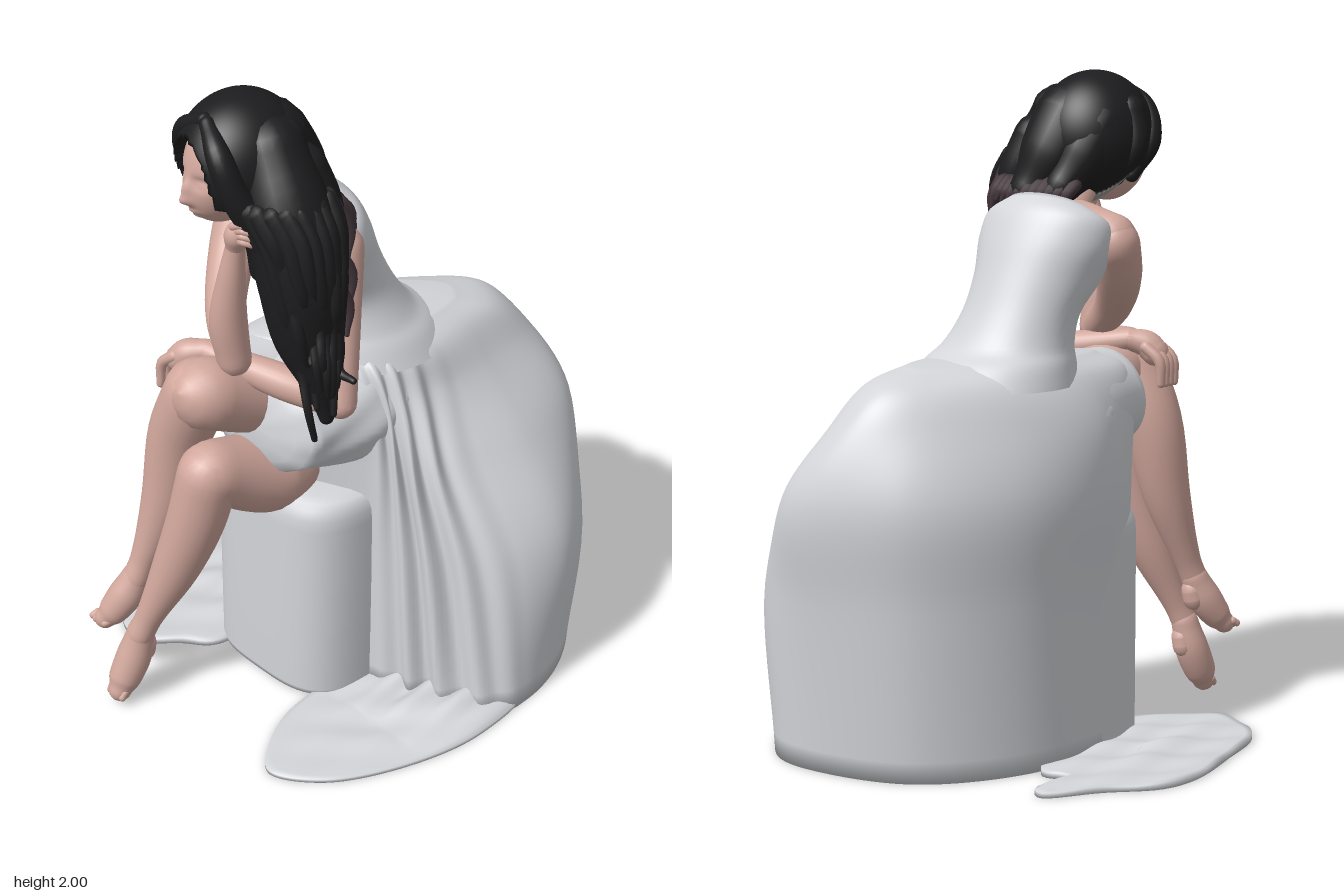
import * as THREE from 'three';

const V = (x, y, z) => new THREE.Vector3(x, y, z);
const mat = (name, color) => {
  const m = new THREE.MeshStandardMaterial({ color });
  m.name = name;
  return m;
};
const bump = (x, y, cx, cy, w, h) => Math.exp(-(((x - cx) / w) ** 2) - ((y - cy) / h) ** 2);

// Skin a list of closed rings (same point count) into one smooth surface.
function loft(rings) {
  const n = rings[0].length, pos = [], idx = [];
  rings.forEach(r => r.forEach(p => pos.push(p.x, p.y, p.z)));
  for (let i = 0; i < rings.length - 1; i++) for (let j = 0; j < n; j++) {
    const k = (j + 1) % n, a = i * n + j, b = i * n + k, c = b + n, d = a + n;
    idx.push(a, b, c, a, c, d);
  }
  const g = new THREE.BufferGeometry();
  g.setAttribute('position', new THREE.Float32BufferAttribute(pos, 3));
  g.setIndex(idx);
  g.computeVertexNormals();
  return g;
}

// Rounded tube through [x, y, z, radius] points; cap sets how far the ends bulge.
function limb(pts, sides = 18, steps = 20, cap = 1) {
  const path = new THREE.CatmullRomCurve3(pts.map(p => V(p[0], p[1], p[2])));
  const radii = new THREE.SplineCurve(pts.map((p, i) => new THREE.Vector2(i, p[3])));
  const rings = [];
  let n = V(0.31, 0.2, 0.93);
  const ring = (c, t, r) => {
    n = n.clone().addScaledVector(t, -n.dot(t)).normalize();
    const b = t.clone().cross(n);
    rings.push(Array.from({ length: sides }, (_, j) => {
      const a = j / sides * Math.PI * 2;
      return c.clone().addScaledVector(n, r * Math.cos(a)).addScaledVector(b, r * Math.sin(a));
    }));
  };
  for (let i = 0; i <= steps; i++) {
    const u = i / steps, c = path.getPoint(u), t = path.getTangent(u), r = radii.getPoint(u).y;
    const end = s => c.clone().addScaledVector(t, s * r * cap);
    if (i === 0) for (const a of [0.02, 0.4, 0.8, 1.2]) ring(end(-Math.cos(a)), t, r * Math.sin(a));
    ring(c, t, r);
    if (i === steps) for (const a of [1.2, 0.8, 0.4, 0.02]) ring(end(Math.cos(a)), t, r * Math.sin(a));
  }
  return loft(rings);
}

// Flat cloth lying on the floor, with its height set by a rule.
function floorCloth(outline, cx, cz, height) {
  const loop = new THREE.CatmullRomCurve3(outline.map(p => V(p[0], 0, p[1])), true).getSpacedPoints(120).slice(0, 120);
  const at = (s, top) => loop.map(p => {
    const x = cx + (p.x - cx) * s, z = cz + (p.z - cz) * s;
    return V(x, top ? height(x, z, s) : 0, z);
  });
  const rings = [at(0.001, false), at(1, false)];
  for (let i = 0; i <= 16; i++) rings.push(at(Math.max(0.001, 1 - i / 16), true));
  return loft(rings);
}

export function createModel() {
  const root = new THREE.Group();
  root.name = 'seatedWoman';
  const skin = mat('skin', 0xd2a89d), cloth = mat('paleCloth', 0xd3d5d9);
  const hair = mat('darkHair', 0x1d1d1f), tips = mat('hairTips', 0x43353b);
  const add = (name, geo, m, parent = root) => {
    const mesh = new THREE.Mesh(geo, m);
    mesh.name = name;
    parent.add(mesh);
    return mesh;
  };

  // Seat with a softly squared outline: [half width, height] steps
  const seatSteps = [[0.001, 0.004], [0.274, 0.004], [0.277, 0.02], [0.277, 0.3], [0.277, 0.62], [0.275, 0.66],
    [0.266, 0.69], [0.25, 0.707], [0.22, 0.716], [0.17, 0.72], [0.001, 0.72]];
  add('seat', loft(seatSteps.map(([r, y]) => Array.from({ length: 80 }, (_, j) => {
    const a = j / 80 * Math.PI * 2, c = Math.cos(a), s = Math.sin(a);
    const k = r / (Math.abs(c) ** 3.3 + Math.abs(s) ** 3.3) ** (1 / 3.3);
    return V(-0.02 + k * c, y, 0.013 - k * s);
  }))), cloth);

  // Skirt draped over the seat and spreading behind: one outline for each height
  const levels = [
    [0, [0.27, 0.07], [0.45, 0], [0.64, -0.12], [0.62, -0.38], [0.43, -0.63], [0.2, -0.66], [-0.06, -0.58], [-0.25, -0.32], [-0.295, 0.02], [-0.22, 0.22]],
    [0.5, [0.27, 0.06], [0.41, 0], [0.55, -0.14], [0.62, -0.4], [0.44, -0.65], [0.21, -0.7], [-0.06, -0.62], [-0.26, -0.34], [-0.295, 0.02], [-0.22, 0.22]],
    [0.8, [0.27, 0.06], [0.34, 0], [0.4, -0.13], [0.46, -0.38], [0.38, -0.66], [0.2, -0.73], [-0.06, -0.64], [-0.27, -0.34], [-0.305, 0.03], [-0.22, 0.24]],
    [1.0, [0.25, 0.07], [0.28, 0], [0.3, -0.15], [0.31, -0.37], [0.26, -0.58], [0.14, -0.66], [-0.04, -0.56], [-0.22, -0.3], [-0.28, 0.04], [-0.2, 0.27]],
    [1.12, [0.18, 0.08], [0.23, 0], [0.25, -0.13], [0.24, -0.34], [0.2, -0.49], [0.1, -0.56], [-0.03, -0.47], [-0.16, -0.27], [-0.22, 0.04], [-0.17, 0.27]],
    [1.17, [0.1, 0.04], [0.15, 0], [0.17, -0.12], [0.17, -0.27], [0.14, -0.37], [0.08, -0.4], [0, -0.35], [-0.1, -0.22], [-0.14, 0.02], [-0.1, 0.2]],
  ];
  const rails = Array.from({ length: 10 }, (_, k) =>
    new THREE.CatmullRomCurve3(levels.map(l => V(l[k + 1][0], l[0], l[k + 1][1]))));
  const N = 180, rings = [];
  for (let i = 0; i <= 40; i++) {
    const v = i / 40, loop = new THREE.CatmullRomCurve3(rails.map(r => r.getPoint(v)), true);
    rings.push(Array.from({ length: N }, (_, j) => {
      const u = j / N, p = loop.getPoint(u), t = loop.getTangent(u);
      const folds = Math.max(0, 1 - Math.abs(u - 0.11) / 0.13) * 0.026 * Math.sin(Math.min(1, (1 - v) * 1.5) * Math.PI / 2);
      const soft = 0.006 * Math.sin(u * 38 + v * 7) * Math.sin(v * Math.PI);
      const d = folds * Math.sin(u * Math.PI * 2 * 19 + v * 2 + Math.sin(v * 6)) + soft;
      return V(p.x - t.z * d, Math.max(0, p.y), p.z + t.x * d);
    }));
  }
  rings.unshift(rings[0].map(() => V(0.15, 0, -0.25)));
  rings.push(rings[40].map(p => V(0.02 + (p.x - 0.02) * 0.6, 1.18, -0.08 + (p.z + 0.08) * 0.6)));
  rings.push(rings[0].map(() => V(0.02, 1.183, -0.08)));
  add('drapedSkirt', loft(rings), cloth);

  // Trains of cloth on the floor
  const ripple = (x, z) => Math.sin(x * 34 + z * 13) * Math.sin(z * 17 - x * 6);
  add('rightTrain', floorCloth([[-0.2, 0.3], [-0.24, -0.2], [-0.3, -0.31], [-0.38, -0.3], [-0.4, -0.36], [-0.375, -0.45], [-0.41, -0.47],
    [-0.52, -0.33], [-0.64, -0.2], [-0.67, -0.08], [-0.64, 0.15], [-0.58, 0.38], [-0.4, 0.48], [-0.28, 0.38]], -0.42, 0.05,
  (x, z, s) => 0.014 + (1 - s * 0.75) * 0.016 * (1 + ripple(x, z))), cloth);
  add('leftTrain', floorCloth([[0.67, 0], [0.61, -0.25], [0.35, -0.15], [0.2, 0.1], [0.2, 0.36], [0.28, 0.52], [0.36, 0.59], [0.5, 0.5],
    [0.62, 0.27]], 0.42, 0.2, (x, z, s) => 0.012 + (1 - s) * 0.012 * (1 + ripple(x, z))
    + 0.2 * Math.max(0, 0.22 - z) * Math.min(1, (1 - s) * 3) * (0.7 + 0.3 * Math.sin(x * 60))), cloth);

  // Dress: gathered lap and the cloth over the raised thigh
  const lap = limb([[0, 0.945, -0.15, 0.25], [0, 0.95, 0.06, 0.255], [0.02, 0.97, 0.28, 0.195]], 72, 30, 0.3);
  const lp = lap.attributes.position;
  for (let i = 0; i < lp.count; i++) {
    const x = lp.getX(i), y = lp.getY(i), z = lp.getZ(i);
    const k = 1 + 0.014 * Math.sin(Math.atan2(y - 0.95, x) * 11 + z * 24);
    lp.setXYZ(i, x * k * 1.1, 0.95 + (y - 0.95) * k * (y < 0.95 ? 0.78 : 0.87), z);
  }
  lap.computeVertexNormals();
  add('dressLap', lap, cloth);
  add('dressOverThigh', limb([[-0.06, 0.98, -0.1, 0.18], [-0.085, 0.995, 0.1, 0.178], [-0.09, 1.015, 0.3, 0.15]], 36, 20, 0.2), cloth);

  // Bodice sections: height, centre x and z, half width, half depth
  const bust = [[1.1, 0.02, -0.12, 0.25, 0.26], [1.165, 0.01, -0.1, 0.225, 0.22], [1.21, 0, -0.075, 0.2, 0.185], [1.3, -0.02, -0.04, 0.18, 0.16],
    [1.4, -0.035, 0.02, 0.195, 0.17], [1.5, -0.045, 0.055, 0.22, 0.158], [1.57, -0.05, 0.06, 0.205, 0.118], [1.605, -0.045, 0.075, 0.14, 0.08]];
  const sections = Array.from({ length: 48 }, (_, j) => {
    const a = j / 48 * Math.PI * 2;
    return new THREE.CatmullRomCurve3(bust.map(([y, x, z, rx, rz]) => V(x + rx * Math.cos(a),
      y + Math.max(0, y - 1.25) * 0.13 * Math.sin(a), z - rz * Math.sin(a))));
  });
  const bodice = Array.from({ length: 31 }, (_, i) => sections.map(c => c.getPoint(i / 30)));
  bodice.push(bodice[0].map(() => V(-0.04, 1.6, 0.08)));
  add('dressBodice', loft(bodice), cloth);

  // Skin parts, each listed as a path of [x, y, z, radius]
  const body = {
    shoulders: [[-0.23, 1.52, 0.13, 0.07], [-0.05, 1.555, 0.13, 0.075], [0.13, 1.535, 0.1, 0.065]],
    neck: [[-0.04, 1.53, 0.1, 0.09], [-0.06, 1.62, 0.18, 0.062], [-0.07, 1.73, 0.26, 0.06]],
    rightUpperArm: [[-0.24, 1.5, 0.13, 0.073], [-0.205, 1.4, 0.2, 0.068], [-0.1, 1.29, 0.32, 0.058], [0, 1.215, 0.38, 0.05]],
    rightForearm: [[0.005, 1.21, 0.38, 0.05], [0, 1.34, 0.395, 0.055], [0.025, 1.5, 0.4, 0.04], [0.045, 1.61, 0.4, 0.028]],
    rightPalm: [[0.045, 1.61, 0.4, 0.03], [0.06, 1.65, 0.405, 0.037], [0.08, 1.675, 0.4, 0.03]],
    leftUpperArm: [[0.145, 1.525, 0.095, 0.066], [0.2, 1.35, 0.14, 0.053], [0.255, 1.1, 0.2, 0.048]],
    leftForearm: [[0.255, 1.1, 0.2, 0.048], [0.1, 1.14, 0.29, 0.052], [-0.12, 1.18, 0.38, 0.034]],
    leftPalm: [[-0.12, 1.18, 0.38, 0.034], [-0.165, 1.165, 0.41, 0.042], [-0.19, 1.14, 0.42, 0.042]],
    rightThigh: [[-0.02, 0.98, 0.05, 0.13], [-0.045, 1.03, 0.28, 0.122], [-0.045, 1.1, 0.45, 0.108]],
    rightShin: [[-0.07, 1.1, 0.455, 0.1], [-0.148, 0.92, 0.465, 0.095], [-0.185, 0.68, 0.5, 0.074], [-0.22, 0.48, 0.56, 0.044], [-0.235, 0.4, 0.59, 0.042]],
    rightFoot: [[-0.235, 0.41, 0.585, 0.043], [-0.255, 0.34, 0.615, 0.053], [-0.28, 0.28, 0.65, 0.046], [-0.295, 0.255, 0.668, 0.034]],
    rightHeel: [[-0.235, 0.37, 0.575, 0.035], [-0.24, 0.34, 0.58, 0.036]],
    leftThigh: [[0.01, 0.79, 0.12, 0.1], [0, 0.765, 0.25, 0.13], [0.005, 0.865, 0.48, 0.095]],
    leftShin: [[0.005, 0.865, 0.49, 0.091], [-0.03, 0.7, 0.51, 0.088], [-0.09, 0.5, 0.55, 0.072], [-0.15, 0.32, 0.605, 0.044], [-0.175, 0.24, 0.63, 0.042]],
    leftFoot: [[-0.175, 0.25, 0.625, 0.043], [-0.19, 0.16, 0.645, 0.054], [-0.2, 0.08, 0.68, 0.05], [-0.2, 0.045, 0.7, 0.036]],
    leftHeel: [[-0.175, 0.2, 0.615, 0.036], [-0.18, 0.17, 0.615, 0.036]],
  };
  for (const [name, pts] of Object.entries(body)) add(name, limb(pts, 24), skin);
  // Fingers and toes
  for (let i = 0; i < 4; i++) {
    const f = i * 0.017, z = 0.375 + i * 0.024;
    add('rightFinger', limb([[0.065, 1.685 - f, 0.425 - f * 0.3, 0.012], [0.1, 1.7 - f, 0.42, 0.012], [0.13, 1.685 - f, 0.39, 0.01]], 10, 8), skin);
    add('leftFinger', limb([[-0.185, 1.16, z, 0.018], [-0.228, 1.12, z + 0.01, 0.017], [-0.232, 1.05, z + 0.015, 0.013]], 10, 8), skin);
  }
  for (let i = 0; i < 5; i++) {
    const d = (i - 2) * 0.014, r = 0.013;
    add('leftToe', limb([[-0.2 + d, 0.05, 0.705, r], [-0.2 + d, 0.028 + Math.abs(d) * 0.3, 0.715, r * 0.9]], 10, 4), skin);
    add('rightToe', limb([[-0.295 + d, 0.262, 0.675, r], [-0.302 + d, 0.245 + Math.abs(d) * 0.3, 0.688, r * 0.9]], 10, 4), skin);
  }

  // Head with sculpted eye sockets, nose and lips, turned slightly to its right
  const skull = new THREE.SphereGeometry(1, 96, 72), sp = skull.attributes.position;
  for (let i = 0; i < sp.count; i++) {
    const x = sp.getX(i), y = sp.getY(i), z = sp.getZ(i), low = Math.max(0, -y), ax = Math.abs(x);
    let relief = 0.035 * low * (0.5 + 0.5 * z);
    if (z > 0) {
      relief += 0.022 * bump(x, y, 0, -0.42, 0.17, 0.1) + 0.018 * bump(x, y, 0, -0.22, 0.13, 0.2)
        - 0.014 * bump(ax, y, 0.38, -0.06, 0.22, 0.1) + 0.007 * bump(ax, y, 0.38, -0.08, 0.14, 0.05)
        + 0.009 * bump(x, y, 0, -0.64, 0.22, 0.05) + 0.009 * bump(x, y, 0, -0.75, 0.18, 0.05);
    }
    sp.setXYZ(i, x * 0.116 * (1 - 0.25 * low * low), y * 0.168, z * 0.142 + relief);
  }
  skull.computeVertexNormals();
  const head = add('head', skull, skin);
  head.position.set(-0.08, 1.778, 0.3);
  head.rotation.y = -0.15;

  // Hair cap with an opening for the face
  const cap = new THREE.SphereGeometry(1, 96, 64), cp = cap.attributes.position;
  for (let i = 0; i < cp.count; i++) {
    const x = -0.055 + cp.getX(i) * 0.178, y = 1.8 + cp.getY(i) * 0.2;
    let z = 0.282 + cp.getZ(i) * (cp.getZ(i) > 0 ? 0.2 : 0.188);
    const e = ((x + 0.087) / 0.104) ** 2 + ((y - 1.73) / 0.165) ** 2;
    if (e < 1) z = Math.min(z, 0.27);
    if (y < 1.72) z = Math.min(z, 0.27 - (1.72 - y) * 0.9);
    cp.setXYZ(i, x, y, z);
  }
  cap.computeVertexNormals();
  add('hairCap', cap, hair);
  const locks = [
    [[-0.05, 1.95, 0.41, 0.022], [0.03, 1.89, 0.44, 0.036], [0.07, 1.78, 0.42, 0.042], [0.1, 1.65, 0.36, 0.048], [0.08, 1.52, 0.33, 0.04]],
    [[-0.07, 1.95, 0.4, 0.022], [-0.165, 1.89, 0.39, 0.03], [-0.207, 1.79, 0.35, 0.036], [-0.18, 1.69, 0.3, 0.022]],
    [[-0.18, 1.88, 0.28, 0.05], [-0.21, 1.78, 0.27, 0.042], [-0.16, 1.69, 0.24, 0.03]],
    [[0.06, 1.88, 0.24, 0.07], [0.13, 1.81, 0.25, 0.04], [0.135, 1.77, 0.25, 0.03]],
    [[-0.02, 1.85, 0.22, 0.12], [0.01, 1.74, 0.155, 0.105], [0.05, 1.645, 0.1, 0.065]],
    [[-0.12, 1.84, 0.22, 0.09], [-0.09, 1.74, 0.17, 0.085], [-0.06, 1.66, 0.11, 0.055]],
    [[0.1, 1.8, 0.2, 0.07], [0.15, 1.68, 0.17, 0.06], [0.19, 1.56, 0.18, 0.04]],
    [[0.05, 1.86, 0.27, 0.1], [0.13, 1.7, 0.28, 0.125], [0.18, 1.52, 0.275, 0.13], [0.2, 1.34, 0.28, 0.098], [0.24, 1.2, 0.27, 0.055], [0.26, 1.08, 0.26, 0.022]],
    [[0.24, 1.45, 0.26, 0.04], [0.29, 1.33, 0.25, 0.025], [0.3, 1.25, 0.25, 0.016], [0.36, 1.245, 0.25, 0.01]],
  ];
  locks.forEach(p => add('hairLock', limb(p, 20, 24), hair));
  // Loose wavy strands down the left side
  let seed = 7;
  const rnd = () => (seed = (seed * 16807) % 2147483647) / 2147483647;
  for (let i = 0; i < 26; i++) {
    const a = i / 26 * Math.PI * 2 + rnd() * 0.3, w = rnd() * 6, end = 1.03 + rnd() * 0.3;
    const isTip = Math.sin(a) < -0.86, pts = [];
    for (let k = 0; k <= 7; k++) {
      const t = k / 7, r = 0.122 * (1 - 0.7 * t), wave = 0.024 * t * Math.sin(w + t * 11);
      pts.push([0.095 + 0.17 * Math.sqrt(t) + Math.cos(a) * r + wave, 1.74 + (end - 1.74) * t,
        0.275 + Math.sin(a) * r * 1.1 + wave, 0.026 * (1 - 0.75 * t) + 0.003]);
    }
    add(isTip ? 'hairTipStrand' : 'hairStrand', limb(pts, 8, 26), isTip ? tips : hair);
  }
  // Short wisps lying over the shoulder
  for (const [x, y, z] of [[0.19, 1.62, 0.12], [0.23, 1.5, 0.15], [0.25, 1.42, 0.18]]) {
    add('shoulderWisp', limb([[x - 0.02, y + 0.1, z + 0.05, 0.02], [x + 0.01, y, z, 0.022], [x + 0.03, y - 0.08, z + 0.02, 0.008]], 8, 10), tips);
  }
  // Ragged ends on the back
  for (let i = 0; i < 11; i++) {
    const x = -0.11 + i * 0.026, z = 0.065 - 0.03 * Math.sin(i / 10 * Math.PI), drop = rnd() * 0.035;
    add('hairFringe', limb([[x, 1.67, z + 0.04, 0.022], [x + 0.01, 1.64, z + 0.012, 0.018], [x + 0.02, 1.62 - drop, z, 0.006]], 8, 8), tips);
  }
  return root;
}
